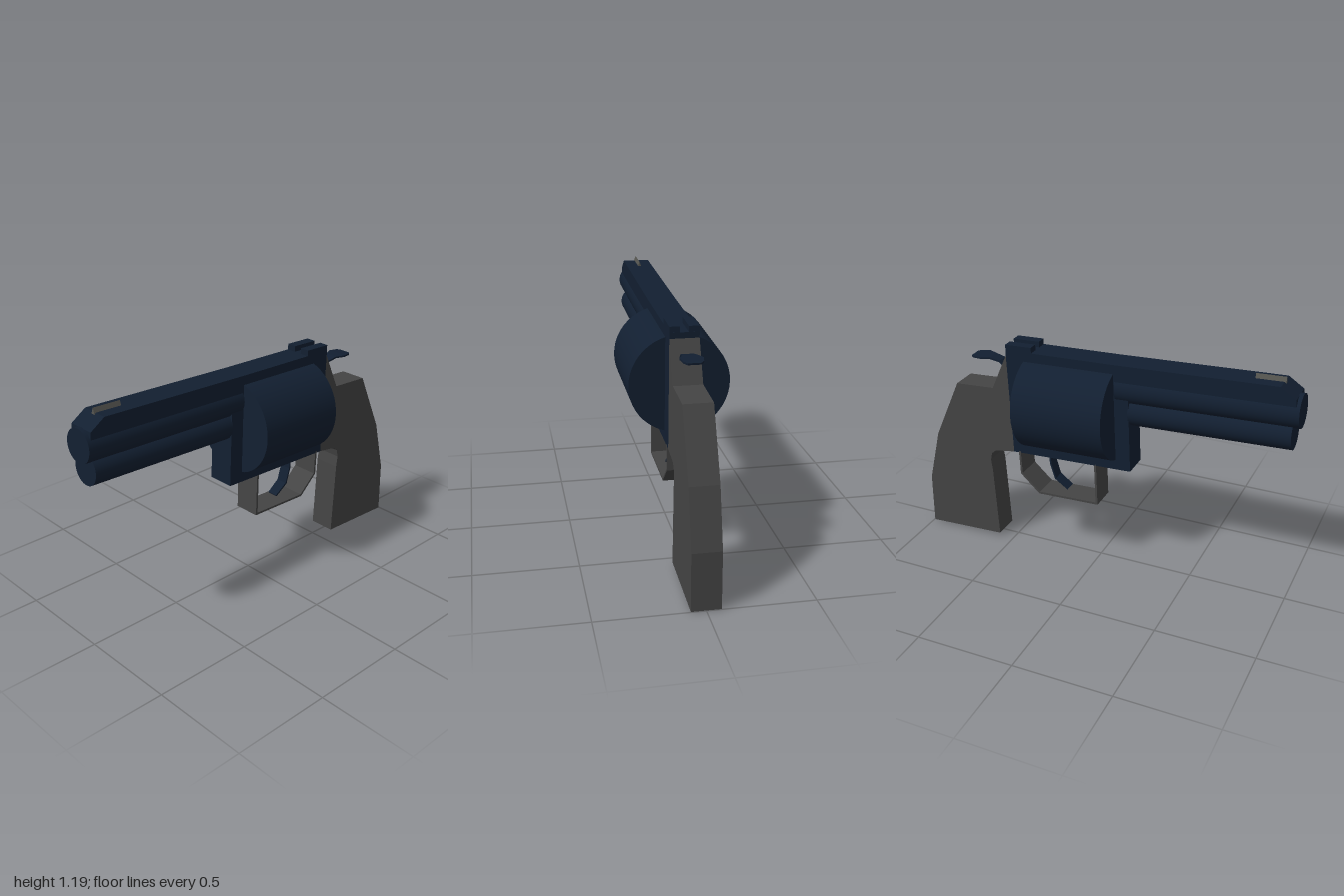
import * as THREE from 'three';

const steel = new THREE.MeshStandardMaterial({ color: 0x121f31 });
const dark = new THREE.MeshStandardMaterial({ color: 0x444444 });
const sightGrey = new THREE.MeshStandardMaterial({ color: 0x555550 });
const HALF = 0.069; // half thickness of frame and grip

function add(group, name, geometry, material) {
  const mesh = new THREE.Mesh(geometry, material);
  mesh.name = name;
  group.add(mesh);
  return mesh;
}

// Side profile extruded from z0 to z1
function slab(points, z0 = -HALF, z1 = HALF) {
  const shape = new THREE.Shape(points.map(([x, y]) => new THREE.Vector2(x, y)));
  const g = new THREE.ExtrudeGeometry(shape, { depth: z1 - z0, bevelEnabled: false });
  return g.translate(0, 0, z0);
}

// Round bar between two points in the side plane
function bar([x0, y0], [x1, y1], radius) {
  const g = new THREE.CylinderGeometry(radius, radius, Math.hypot(x1 - x0, y1 - y0), 48);
  g.rotateZ(Math.atan2(y1 - y0, x1 - x0) - Math.PI / 2);
  return g.translate((x0 + x1) / 2, (y0 + y1) / 2, 0);
}

// Bent strip along [x, y, halfWidth] sections, mitred at the bends
function strip(path, thickness) {
  const pos = [], idx = [], n = path.length;
  const dir = (a, b) => new THREE.Vector2(b[0] - a[0], b[1] - a[1]).normalize();
  path.forEach(([x, y, w], i) => {
    const a = dir(path[Math.max(i - 1, 0)], path[Math.max(i, 1)]);
    const b = dir(path[Math.min(i, n - 2)], path[Math.min(i + 1, n - 1)]);
    const t = a.clone().add(b).normalize();
    const h = thickness / 2 / t.dot(a);
    const nx = -t.y * h, ny = t.x * h;
    pos.push(x + nx, y + ny, w, x + nx, y + ny, -w, x - nx, y - ny, -w, x - nx, y - ny, w);
  });
  for (let i = 0; i < n - 1; i++) {
    for (let k = 0; k < 4; k++) {
      const a = i * 4 + k, b = i * 4 + (k + 1) % 4;
      idx.push(a, a + 4, b, b, a + 4, b + 4);
    }
  }
  const e = (n - 1) * 4;
  idx.push(0, 1, 2, 0, 2, 3, e, e + 2, e + 1, e, e + 3, e + 2);
  const g = new THREE.BufferGeometry();
  g.setAttribute('position', new THREE.Float32BufferAttribute(pos, 3));
  g.setIndex(idx);
  const flat = g.toNonIndexed();
  flat.computeVertexNormals();
  return flat;
}

export function createModel() {
  const model = new THREE.Group();
  model.name = 'revolver';

  // Frame, drum and barrel, all tilted slightly downwards to the rear
  add(model, 'frame', slab([[-0.187, 0.577], [0.465, 0.55], [0.489, 1.113], [-0.163, 1.135]]), steel);
  add(model, 'drum', bar([-0.1, 0.856], [0.382, 0.838], 0.24), steel);
  add(model, 'barrel', bar([-0.997, 1.039], [-0.1, 1.002], 0.082), steel);
  add(model, 'underBarrel', bar([-0.969, 0.918], [-0.17, 0.885], 0.076), steel);
  add(model, 'topRib', slab([[-0.98, 1.07], [-0.1, 1.035], [0.36, 1.06], [0.36, 1.113],
    [-0.9, 1.168], [-0.975, 1.118]]), steel);

  // Rear sight: two blocks with a notch between them
  const block = [[0.345, 1.09], [0.487, 1.085], [0.489, 1.141], [0.347, 1.147]];
  add(model, 'rearSightLeft', slab(block, 0.02, HALF), steel);
  add(model, 'rearSightRight', slab(block, -HALF, -0.02), steel);

  // Front sight: narrow wedge on the rib
  const wedge = new THREE.Shape([new THREE.Vector2(-0.014, -0.012),
    new THREE.Vector2(0.014, -0.012), new THREE.Vector2(0, 0.026)]);
  const sight = new THREE.ExtrudeGeometry(wedge, { depth: 0.143, bevelEnabled: false });
  sight.translate(0, 0, -0.0715).rotateY(Math.PI / 2).rotateZ(-0.042).translate(-0.838, 1.162, 0);
  add(model, 'frontSight', sight, sightGrey);

  // Grip
  add(model, 'grip', slab([[0.465, 0.55], [0.575, 0.533], [0.6, 0.51], [0.608, 0.47], [0.6, 0.41],
    [0.577, 0.02], [0.997, 0.002], [0.994, 0.28], [0.927, 0.56], [0.784, 0.88],
    [0.573, 0.892], [0.488, 1.085]]), dark);

  // Trigger guard, trigger and hammer
  add(model, 'triggerGuard', strip([[0.004, 0.575, HALF], [-0.004, 0.348, HALF], [0.323, 0.336, HALF],
    [0.425, 0.43, HALF], [0.432, 0.56, HALF]], 0.011), dark);
  add(model, 'trigger', strip([[0.278, 0.57, 0.03], [0.274, 0.5, 0.03], [0.248, 0.42, 0.03],
    [0.178, 0.37, 0.028]], 0.009), steel);
  add(model, 'hammer', strip([[0.49, 0.95, 0.03], [0.525, 1.005, 0.03], [0.55, 1.026, 0.03],
    [0.6, 1.036, 0.034], [0.645, 1.037, 0.053], [0.69, 1.034, 0.045], [0.707, 1.031, 0.03]], 0.009), steel);

  return model;
}
